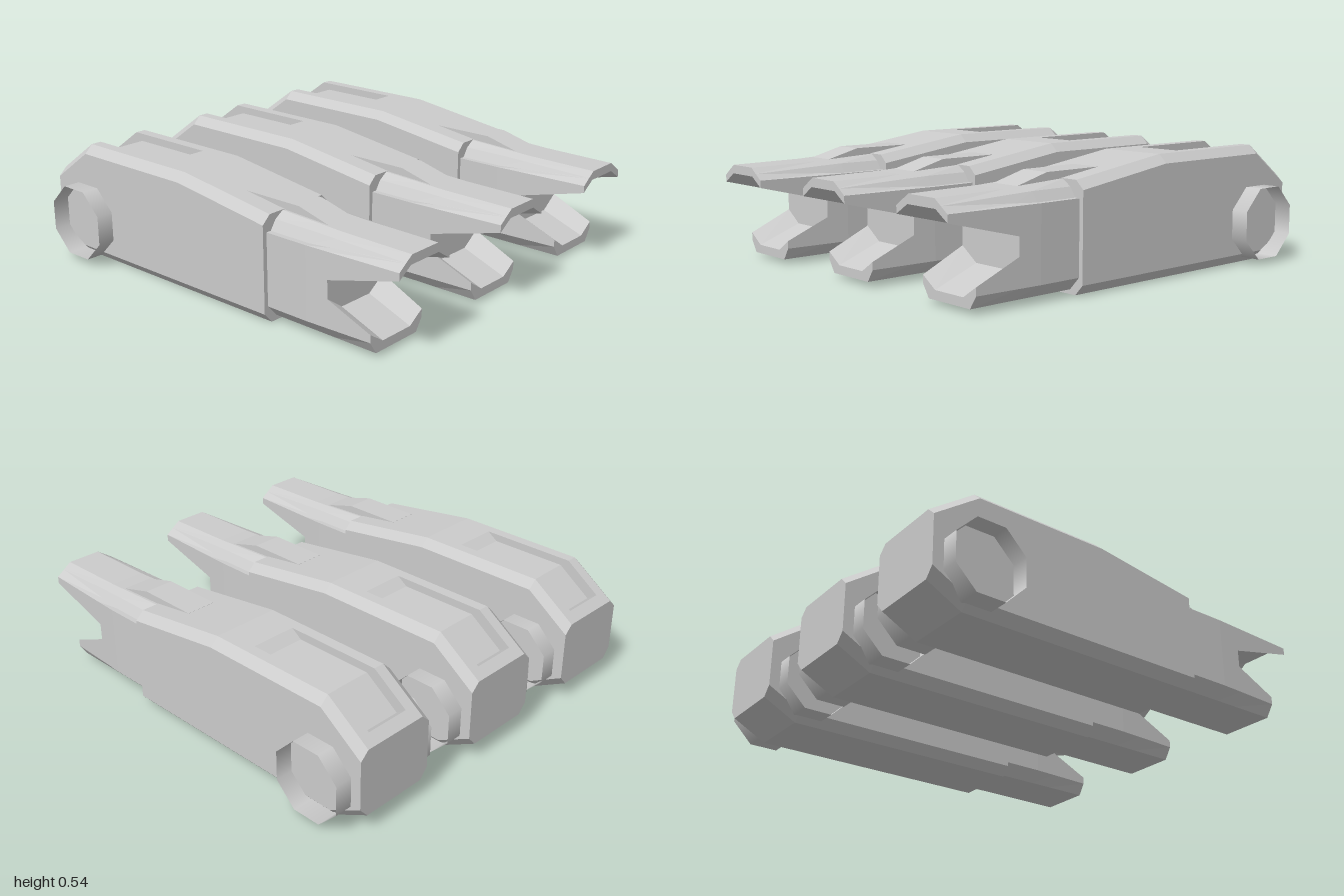
import * as THREE from 'three';

const material = new THREE.MeshStandardMaterial({ color: 0xcccccc, flatShading: true });
const ringMaterial = new THREE.MeshStandardMaterial({ color: 0xcccccc, side: THREE.DoubleSide });

// Piecewise linear lookup in a list of [z, value], z falling
function along(keys, z) {
  if (z >= keys[0][0]) return keys[0][1];
  for (let i = 1; i < keys.length; i++) {
    const [z0, v0] = keys[i - 1], [z1, v1] = keys[i];
    if (z >= z1) return v0 + (v1 - v0) * (z0 - z) / (z0 - z1);
  }
  return keys[keys.length - 1][1];
}

// Skin a mirrored half profile (right half, bottom to top) over stations from front to back
function loft(name, stations, profile) {
  const rings = stations.map((z) => {
    const half = profile(z);
    const mirrored = half.map(([x, y]) => [-x, y]).reverse();
    return [...half, ...mirrored].map(([x, y]) => new THREE.Vector3(x, y, z));
  });
  const pos = [];
  const tri = (a, b, c) => {
    const area = b.clone().sub(a).cross(c.clone().sub(a)).length();
    if (area > 1e-7) for (const p of [a, b, c]) pos.push(p.x, p.y, p.z);
  };
  for (let s = 0; s + 1 < rings.length; s++) {
    const a = rings[s], b = rings[s + 1];
    for (let i = 0; i < a.length; i++) {
      const j = (i + 1) % a.length;
      tri(a[i], b[i], b[j]);
      tri(a[i], b[j], a[j]);
    }
  }
  const cap = (ring, flip) => {
    const flat = ring.map((p) => new THREE.Vector2(p.x, p.y));
    for (const [i, j, k] of THREE.ShapeUtils.triangulateShape(flat, [])) {
      if (flip) tri(ring[i], ring[k], ring[j]);
      else tri(ring[i], ring[j], ring[k]);
    }
  };
  cap(rings[0], false);
  cap(rings[rings.length - 1], true);
  const geometry = new THREE.BufferGeometry();
  geometry.setAttribute('position', new THREE.Float32BufferAttribute(pos, 3));
  geometry.computeVertexNormals();
  const mesh = new THREE.Mesh(geometry, material);
  mesh.name = name;
  return mesh;
}

// Chamfered housing with a sunken panel in its roof
function housing() {
  const top = [[0.34, 0.47], [-0.16, 0.54], [-0.79, 0.54], [-1, 0.39]];
  const bottom = [[-0.84, 0], [-1, 0.085]];
  const floor = [[-0.33, 0.54], [-0.38, 0.505], [-0.75, 0.505], [-0.91, 0.39], [-0.955, 0.4225]];
  return loft('housing', [0.34, -0.16, -0.33, -0.38, -0.75, -0.79, -0.84, -0.91, -0.955, -1], (z) => {
    const t = along(top, z), b = along(bottom, z);
    const sunken = z < -0.33 && z > -0.955;
    return [
      [0.155, b], [0.195, b + 0.045], [0.195, t - 0.038], [0.155, t],
      [0.105, t], [0.105, sunken ? along(floor, z) : t],
    ];
  });
}

// Half width of the nose
const noseWidth = (z) => along([[1, 0.155], [0.55, 0.175]], z);

function upperJaw() {
  const inner = [[1, 0.41], [0.66, 0.33]];
  const outer = [[1, 0.365], [0.66, 0.28]];
  const lerp = (z, tip, root) => along([[1, tip], [0.55, root]], z);
  return loft('upperJaw', [1, 0.66, 0.55, 0.34], (z) => [
    [0.085, along(inner, z)], [noseWidth(z), along(outer, z)],
    // stepped groove that fades out at the tip
    [noseWidth(z), 0.398], [lerp(z, 0.118, 0.15), lerp(z, 0.424, 0.398)],
    [lerp(z, 0.115, 0.122), lerp(z, 0.426, 0.44)],
    [0.08, along([[0.75, 0.45], [0.34, 0.468]], z)],
  ]);
}

function lowerJaw() {
  return loft('lowerJaw', [0.87, 0.66, 0.55, 0.34], (z) => [
    [0.125, 0.02], [noseWidth(z), 0.075],
    [noseWidth(z), along([[0.87, 0.11], [0.66, 0.2]], z)],
    [0.085, along([[0.87, 0.06], [0.66, 0.14]], z)],
  ]);
}

function throat() {
  return loft('throat', [0.66, 0.55, 0.34], (z) => [
    [0.085, 0.14], [noseWidth(z), 0.2], [noseWidth(z), 0.28], [0.085, 0.33],
  ]);
}

// Sloped block bridging nose and housing
function sight() {
  const top = [[0.6, 0.452], [0.42, 0.5], [0.13, 0.5]];
  return loft('sight', [0.6, 0.42, 0.13], (z) => [[0.07, 0.42], [0.07, along(top, z)]]);
}

// Open octagonal sleeve across the rear
function sleeve() {
  const radius = 0.1625 / Math.cos(Math.PI / 8);
  const geometry = new THREE.CylinderGeometry(radius, radius, 0.55, 8, 1, true);
  geometry.rotateY(Math.PI / 8).rotateZ(Math.PI / 2);
  const mesh = new THREE.Mesh(geometry, ringMaterial);
  mesh.name = 'sleeve';
  mesh.position.set(0, 0.19, -0.788);
  return mesh;
}

export function createModel() {
  const model = new THREE.Group();
  model.name = 'tripleUnit';
  ['rightUnit', 'middleUnit', 'leftUnit'].forEach((name, i) => {
    const unit = new THREE.Group();
    unit.name = name;
    unit.position.x = (i - 1) * 0.662;
    unit.add(housing(), upperJaw(), lowerJaw(), throat(), sight(), sleeve());
    model.add(unit);
  });
  return model;
}
